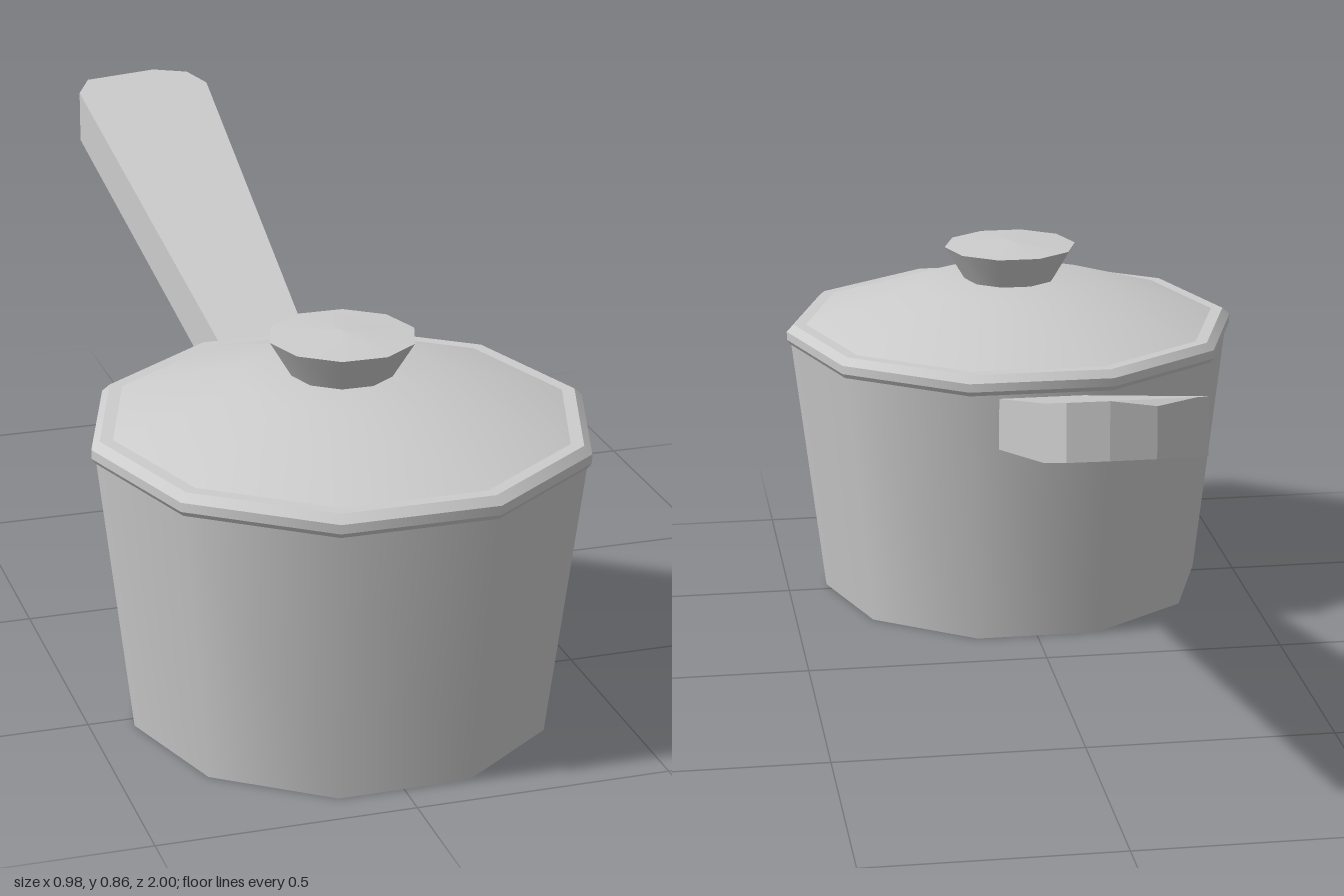
import * as THREE from 'three';

export function createModel() {
  const model = new THREE.Group();
  const grey = new THREE.MeshStandardMaterial({ color: 0xcccccc });
  grey.name = 'light grey metal';

  const pot = new THREE.Group();
  pot.name = 'pot';
  pot.position.z = 0.53;
  model.add(pot);

  // Ten-sided turned part, listed from bottom to top: [radius, height]
  function turned(name, profile, parent) {
    const points = profile.map(([r, y]) => new THREE.Vector2(r, y));
    const mesh = new THREE.Mesh(new THREE.LatheGeometry(points, 10, Math.PI / 2), grey);
    mesh.name = name;
    parent.add(mesh);
  }

  // Same, with a sharp crease at every profile point
  function creased(name, profile) {
    const group = new THREE.Group();
    group.name = name;
    for (let i = 0; i < profile.length - 1; i++) {
      turned(name + 'Band' + (i + 1), [profile[i], profile[i + 1]], group);
    }
    pot.add(group);
  }

  // Vessel
  creased('body', [[0, 0], [0.415, 0], [0.481, 0.558]]);

  // Lid with its bevelled rim
  creased('lidRim', [[0.46, 0.557], [0.483, 0.557], [0.49, 0.567], [0.49, 0.585], [0.474, 0.6], [0.448, 0.6]]);
  turned('lid', [[0.448, 0.6], [0.2, 0.68], [0, 0.68]], pot);

  // Knob
  turned('knobStem', [[0.032, 0.675], [0.032, 0.695]], pot);
  creased('knob', [[0, 0.69], [0.1, 0.69], [0.143, 0.761], [0, 0.771]]);

  // Handle: outline seen from above, widening to a bevelled end
  const half = [[0.085, -0.12], [0.089, -0.06], [0.148, 0.93], [0.116, 0.98], [0.042, 1]];
  const outline = [...half, ...half.map(([x, y]) => [-x, y]).reverse()];
  const shape = new THREE.Shape(outline.map(([x, y]) => new THREE.Vector2(x, y)));
  const geometry = new THREE.ExtrudeGeometry(shape, { depth: 0.11, bevelEnabled: false });
  geometry.rotateX(-Math.PI / 2);

  // Slope it up towards the end, with a slight dip at one tip corner
  const pos = geometry.attributes.position;
  for (let i = 0; i < pos.count; i++) {
    const x = pos.getX(i), y = pos.getY(i), z = pos.getZ(i);
    const dip = z < -0.99 && x < 0 && y > 0.1 ? 0.013 : 0;
    pos.setY(i, y + 0.435 + (0.085 - z) * 0.286 - dip);
  }
  geometry.computeVertexNormals();
  const handle = new THREE.Mesh(geometry, grey);
  handle.name = 'handle';
  model.add(handle);

  return model;
}
